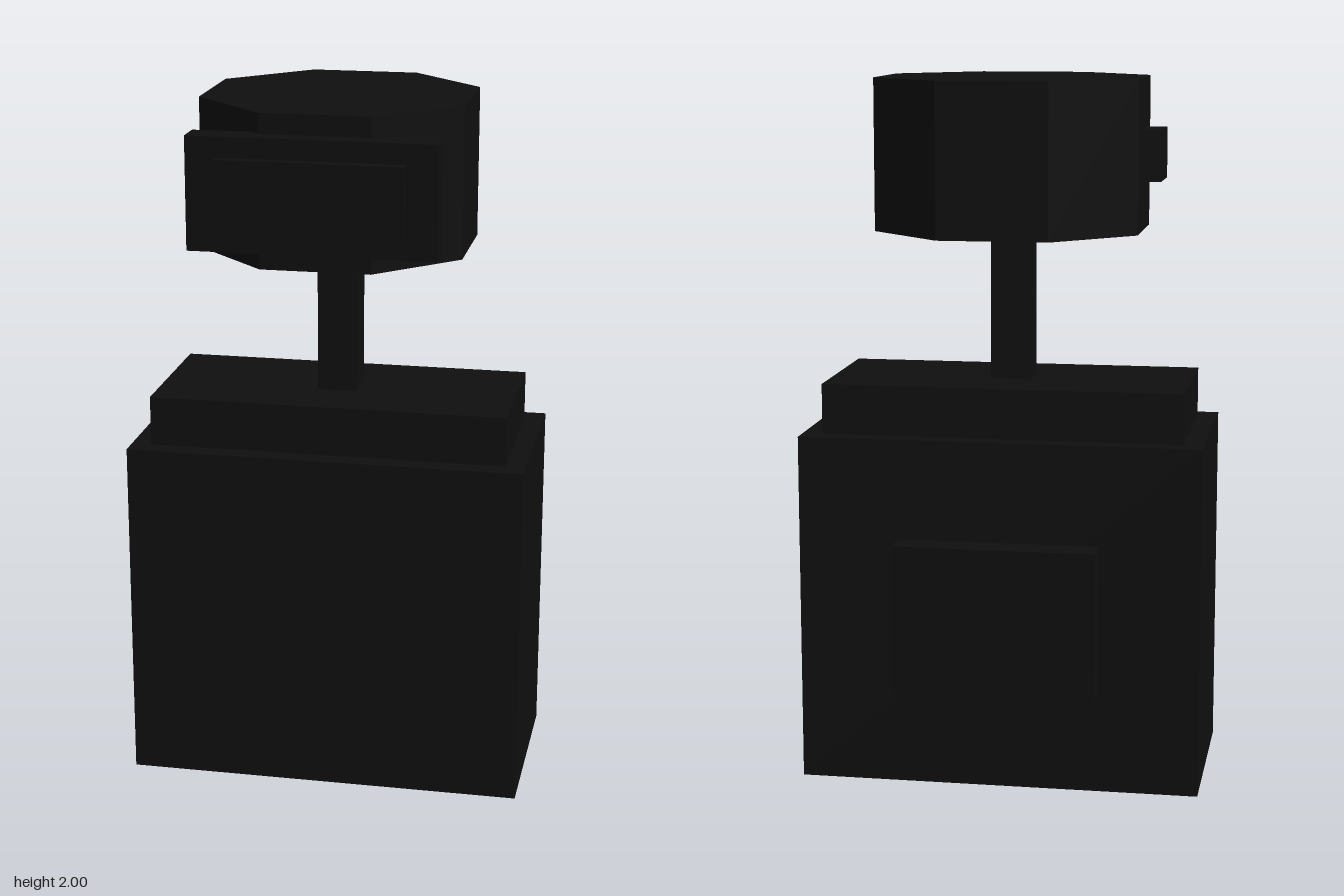
import * as THREE from 'three';

const U = 2 / 70; // modelling unit: the figure is 70 units tall

export function createModel() {
  const model = new THREE.Group();
  const black = new THREE.MeshStandardMaterial({ color: 0x0f0f0f, flatShading: true });
  black.name = 'black';

  // Box given by its low and high limits on each axis, in units
  function box(name, [x0, x1], [y0, y1], [z0, z1]) {
    const geometry = new THREE.BoxGeometry((x1 - x0) * U, (y1 - y0) * U, (z1 - z0) * U);
    const mesh = new THREE.Mesh(geometry, black);
    mesh.name = name;
    mesh.position.set((x0 + x1) / 2 * U, (y0 + y1) / 2 * U, (z0 + z1) / 2 * U);
    model.add(mesh);
  }

  // Body, stepped shoulders, back panel and neck
  box('body', [-20, 20], [0, 35], [-11.5, 8.5]);
  box('shoulders', [-18, 18], [35, 40], [-9.5, 6.5]);
  box('backPanel', [-10, 10], [10, 25], [-14.5, -11.5]);
  box('neck', [-2, 2], [40, 55], [-3.5, 0.5]);

  // Octagonal head with flats facing the axes
  const radius = 13 * U / Math.cos(Math.PI / 8);
  const headGeometry = new THREE.CylinderGeometry(radius, radius, 15 * U, 8);
  headGeometry.rotateY(Math.PI / 8);
  const head = new THREE.Mesh(headGeometry, black);
  head.name = 'head';
  head.position.set(0, 62.5 * U, -1.5 * U);
  model.add(head);

  // Face plate with a raised centre, and a knob on the right side
  box('facePlate', [-12, 12], [57, 68], [10.5, 13.5]);
  box('faceScreen', [-9, 9], [59, 66], [13.5, 14.5]);
  box('sideKnob', [-15, -13], [60, 65], [-4.5, 1.5]);

  return model;
}
